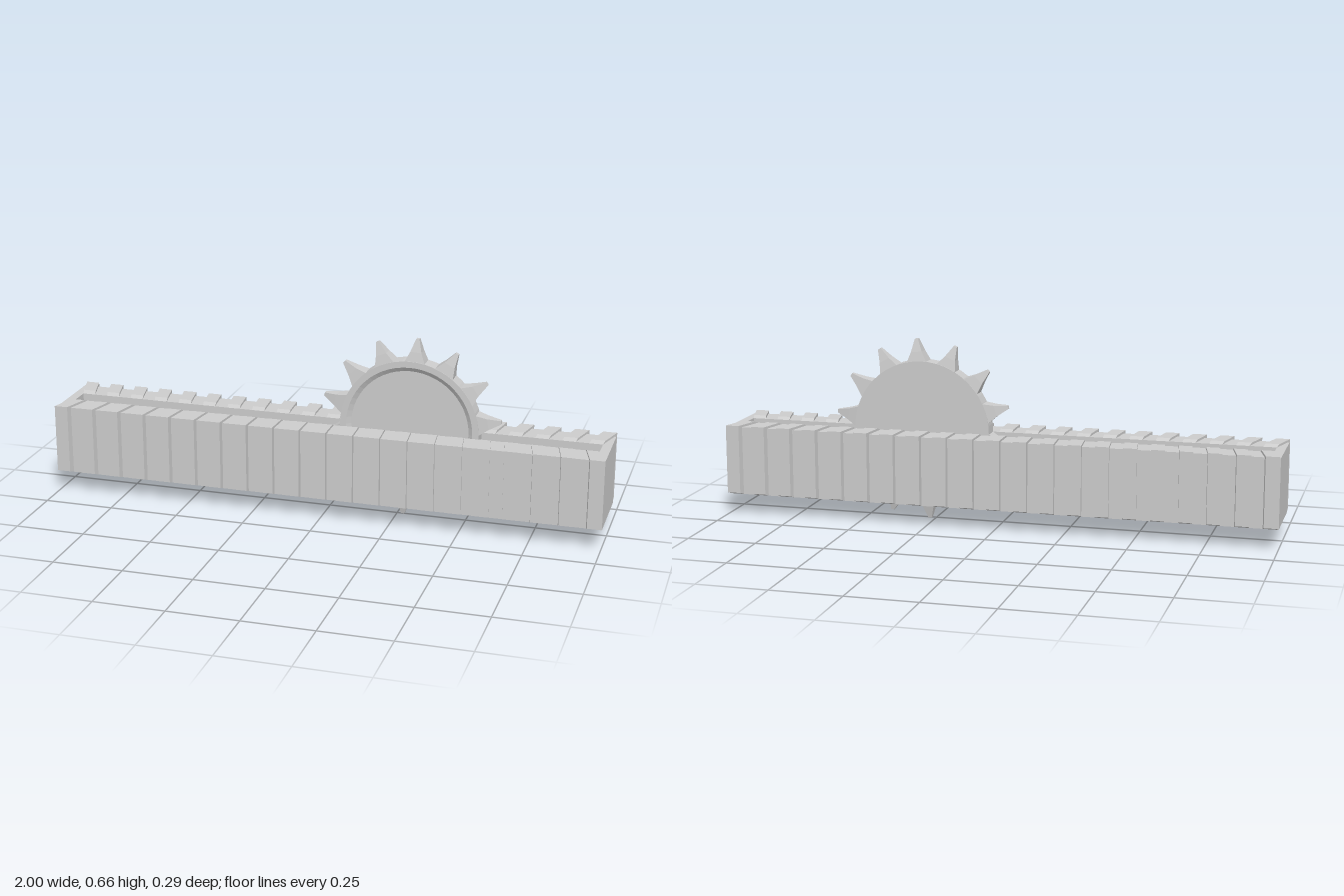
import * as THREE from 'three';

const material = new THREE.MeshStandardMaterial({ color: 0xcccccc, flatShading: true });

function part(name, geometry) {
  const mesh = new THREE.Mesh(geometry, material);
  mesh.name = name;
  return mesh;
}

// Reshape a geometry by a rule applied to every vertex
function warp(geometry, rule) {
  const pos = geometry.attributes.position;
  const v = new THREE.Vector3();
  for (let i = 0; i < pos.count; i++) {
    rule(v.fromBufferAttribute(pos, i));
    pos.setXYZ(i, v.x, v.y, v.z);
  }
  geometry.computeVertexNormals();
  return geometry;
}

const rectangle = (w, d) => [[-w, -d], [w, -d], [w, d], [-w, d]].map(([x, y]) => new THREE.Vector2(x, y));

// Long bar with a slot open at the top
function createBar() {
  const bar = new THREE.Group();
  bar.name = 'bar';
  const outline = new THREE.Shape(rectangle(1, 0.127));
  outline.holes.push(new THREE.Path(rectangle(0.967, 0.036).reverse()));
  const walls = new THREE.ExtrudeGeometry(outline, { depth: 0.202, bevelEnabled: false });
  walls.rotateX(-Math.PI / 2).translate(0, 0.12, 0);
  bar.add(part('slottedWalls', walls));
  const floor = new THREE.BoxGeometry(2, 0.047, 0.254).translate(0, 0.0965, 0);
  bar.add(part('barFloor', floor));
  return bar;
}

// Ribs run up one side and over the top, converging towards the slot
function createRibs(name) {
  const ribs = new THREE.Group();
  ribs.name = name;
  const profile = new THREE.Shape([
    [0.12, 0.073], [0.127, 0.073], [0.147, 0.081], [0.147, 0.33],
    [0.055, 0.33], [0.036, 0.322], [0.12, 0.315],
  ].map(([x, y]) => new THREE.Vector2(x, y)));
  const count = 21;
  const width = 2 / (2 * count - 1);
  for (let i = 0; i < count; i++) {
    const rib = new THREE.ExtrudeGeometry(profile, { depth: width, bevelEnabled: false });
    rib.rotateY(Math.PI / 2).translate(-1 + 2 * i * width, 0, 0);
    warp(rib, (v) => { v.x *= 1 - 0.033 * (0.147 - Math.abs(v.z)) / 0.111; });
    ribs.add(part('rib', rib));
  }
  return ribs;
}

// Toothed wheel with a shallow dished front
function createWheel() {
  const wheel = new THREE.Group();
  wheel.name = 'toothedWheel';
  const profile = [
    [0, -0.03], [0.25, -0.03], [0.25, 0.03], [0.228, 0.03], [0.212, 0.018], [0, 0.018],
  ].map(([x, y]) => new THREE.Vector2(x, y));
  wheel.add(part('wheelDisc', new THREE.LatheGeometry(profile, 56).rotateX(Math.PI / 2)));

  // Each tooth narrows both across and through its thickness
  const sections = [
    { r: 0.238, w: 0.04, z: 0.03 },
    { r: 0.283, w: 0.02, z: 0.0205 },
    { r: 0.328, w: 0.006, z: 0.0075 },
  ];
  const tooth = warp(new THREE.BoxGeometry(2, 2, 2, 1, 2, 1), (v) => {
    const s = sections[Math.round(v.y) + 1];
    v.set(v.x * s.w, s.r, v.z * s.z);
  });
  const count = 14;
  for (let i = 0; i < count; i++) {
    const mesh = part('tooth', tooth);
    mesh.rotation.z = THREE.MathUtils.degToRad(-4) + (i * 2 * Math.PI) / count;
    wheel.add(mesh);
  }
  wheel.position.set(0.293, 0.328, -0.006);
  return wheel;
}

export function createModel() {
  const model = new THREE.Group();
  model.name = 'ribbedBarWithWheel';
  const backRibs = createRibs('backRibs');
  const frontRibs = createRibs('frontRibs');
  frontRibs.rotation.y = Math.PI;
  model.add(createBar(), backRibs, frontRibs, createWheel());
  return model;
}
